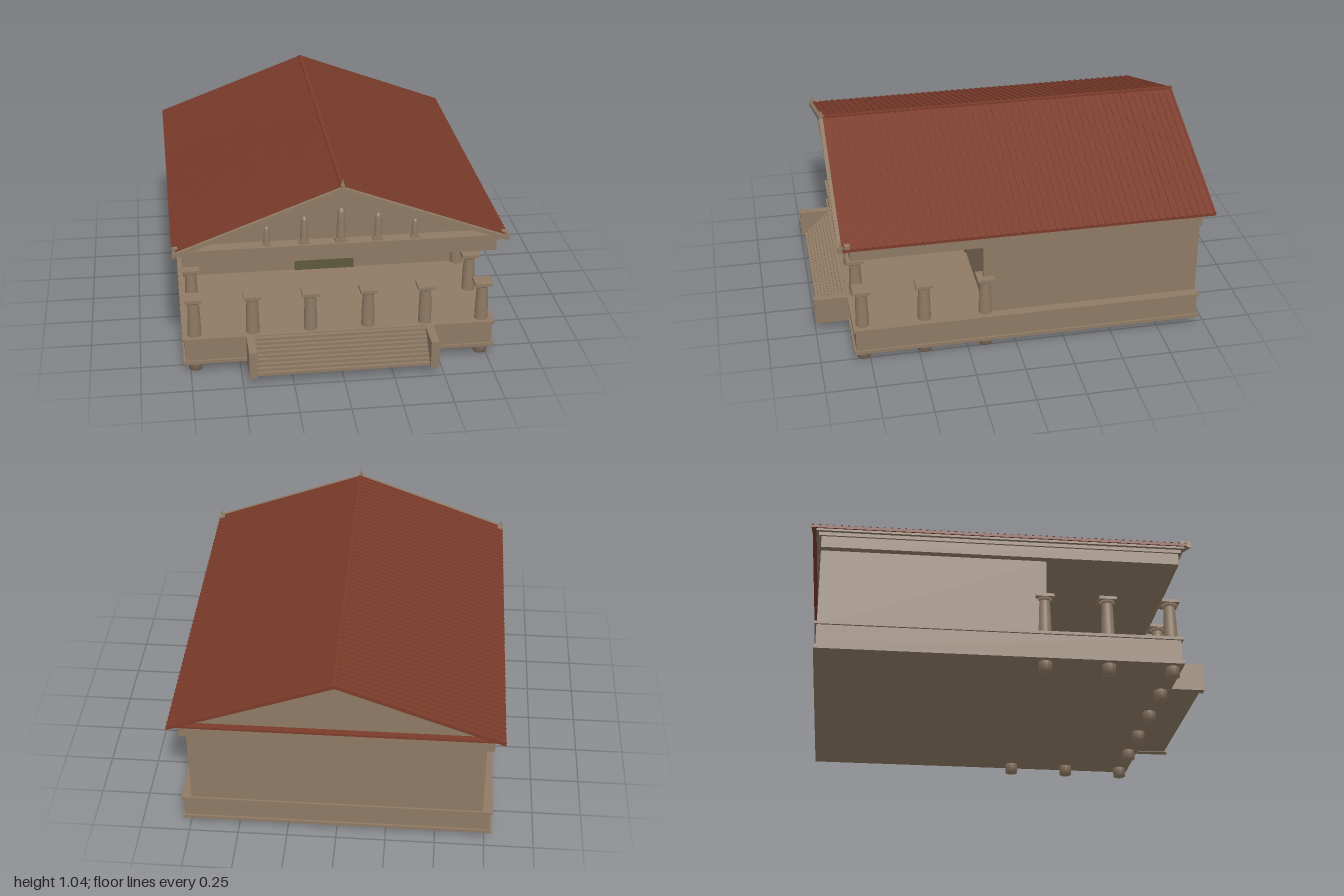
import * as THREE from 'three';

const stone = new THREE.MeshStandardMaterial({ color: 0x8f7a64 });
const tile = new THREE.MeshStandardMaterial({ color: 0x7a3b2a });
const wood = new THREE.MeshStandardMaterial({ color: 0x5f583c });

export function createModel() {
  const model = new THREE.Group();
  const add = (name, geo, mat, x = 0, y = 0, z = 0, parent = model) => {
    const m = new THREE.Mesh(geo, mat);
    m.name = name;
    m.position.set(x, y, z);
    parent.add(m);
    return m;
  };
  // box given by its limits
  const block = (name, x0, x1, y0, y1, z0, z1, mat = stone, parent = model) =>
    add(name, new THREE.BoxGeometry(x1 - x0, y1 - y0, z1 - z0), mat,
      (x0 + x1) / 2, (y0 + y1) / 2, (z0 + z1) / 2, parent);
  // outline in x, y extruded from z0 to z1
  const prism = (name, pts, z0, z1, mat) => add(name, new THREE.ExtrudeGeometry(
    new THREE.Shape(pts.map(p => new THREE.Vector2(...p))),
    { depth: z1 - z0, bevelEnabled: false }), mat, 0, 0, z0);

  // podium with base and top mouldings
  block('podium', -0.775, 0.775, 0.05, 0.185, -0.95, 0.82);
  block('podiumBaseMoulding', -0.785, 0.785, 0.047, 0.065, -0.96, 0.83);
  block('podiumTopMoulding', -0.785, 0.785, 0.175, 0.19, -0.96, 0.83);

  // front staircase between two cheek walls
  const steps = 9;
  for (let i = 0; i < steps; i++) {
    const h = 0.135 / steps;
    block('step', -0.432, 0.432, 0.05, 0.185 - i * h, 0.815, 0.85 + i * 0.0165);
  }
  for (const s of [-1, 1])
    block('stairCheek', s * 0.45 - 0.02, s * 0.45 + 0.02, 0.047, 0.19, 0.82, 1);

  // cella with projecting side walls and a door
  block('cella', -0.72, 0.72, 0.19, 0.595, -0.95, 0.152);
  for (const s of [-1, 1])
    block('cellaSideWall', s * 0.725 - 0.01, s * 0.725 + 0.01, 0.19, 0.595, -0.95, 0.166);
  block('door', -0.16, 0.16, 0.19, 0.435, 0.14, 0.16, wood);

  // columns: shaft and echinus turned in one profile, square abacus on top
  const shaft = new THREE.LatheGeometry([
    [0, 0], [0.034, 0], [0.034, 0.05], [0.034, 0.19], [0.032, 0.28], [0.028, 0.372],
    [0.031, 0.374], [0.04, 0.387], [0, 0.387],
  ].map(p => new THREE.Vector2(...p)), 16);
  const column = (x, z) => {
    const g = new THREE.Group();
    g.name = 'column';
    g.position.set(x, 0, z);
    add('shaft', shaft, stone, 0, 0, 0, g);
    block('abacus', -0.044, 0.044, 0.386, 0.402, -0.044, 0.044, stone, g);
    model.add(g);
  };
  for (let i = 0; i < 6; i++) column(-0.725 + i * 0.29, 0.78);
  for (const s of [-1, 1]) for (const z of [0.467, 0.155]) column(s * 0.725, z);

  // entablature and stepped cornice
  block('architrave', -0.772, 0.772, 0.595, 0.655, -0.95, 0.83);
  block('lowerCornice', -0.782, 0.782, 0.655, 0.673, -0.962, 0.842);
  block('upperCornice', -0.798, 0.798, 0.673, 0.69, -0.975, 0.857);

  // pediment walls, front and back
  const gable = [[-0.7, 0.688], [0.7, 0.688], [0, 0.955]];
  prism('frontPediment', gable, 0.77, 0.79, stone);
  prism('backPediment', gable, -0.96, -0.94, stone);

  // pediment figures on small plinths
  for (const [x, top] of [[0, 0.87], [-0.18, 0.832], [0.18, 0.832], [-0.362, 0.788], [0.362, 0.788]]) {
    const h = top - 0.69, r = 0.008 + h * 0.09;
    const g = new THREE.Group();
    g.name = 'pedimentFigure';
    g.position.set(x, 0.69, 0.825);
    block('plinth', -r * 1.2, r * 1.2, 0, h * 0.1, -r, r, stone, g);
    add('figure', new THREE.LatheGeometry([
      [r, 0.1], [r * 0.82, 0.55], [r * 0.72, 0.85], [r * 0.5, 0.96], [0, 1],
    ].map(([a, b]) => new THREE.Vector2(a, b * h)), 10), stone, 0, 0, 0, g);
    model.add(g);
  }

  // gabled roof slab and the raking cornice at its front
  const chevron = t => [[-0.82, 0.69], [-0.82, 0.69 - t], [0, 0.998 - t],
    [0.82, 0.69 - t], [0.82, 0.69], [0, 0.998]];
  prism('roof', chevron(0.014), -1, 0.868, tile);
  prism('rakingCornice', chevron(0.02), 0.866, 0.888, stone);
  block('rearEave', -0.8, 0.8, 0.688, 0.698, -0.995, -0.962, tile);
  block('ridgeTiles', -0.01, 0.01, 0.992, 1.004, -1, 0.868, tile);

  // cover tiles running down both slopes
  const slope = Math.atan2(0.308, 0.82), len = Math.hypot(0.82, 0.308);
  const rib = new THREE.BoxGeometry(len, 0.008, 0.01);
  const ribs = 54;
  for (const s of [-1, 1]) for (let i = 0; i < ribs; i++)
    add('coverTile', rib, tile, s * 0.41, 0.844, -0.993 + i * 1.853 / (ribs - 1))
      .rotation.z = -s * slope;

  // roof ornaments at the apex and both corners
  for (const [x, y] of [[0, 0.997], [-0.811, 0.69], [0.811, 0.69]]) {
    const g = new THREE.Group();
    g.name = 'roofOrnament';
    g.position.set(x, y, 0.875);
    block('ornamentBase', -0.009, 0.009, -0.004, 0.012, -0.012, 0.012, stone, g);
    add('ornamentTip', new THREE.ConeGeometry(0.008, 0.035, 8), stone, 0, 0.027, 0, g);
    model.add(g);
  }
  for (const s of [-1, 1])
    block('cornerBlock', s * 0.805 - 0.014, s * 0.805 + 0.014, 0.685, 0.708, 0.83, 0.855);

  return model;
}
